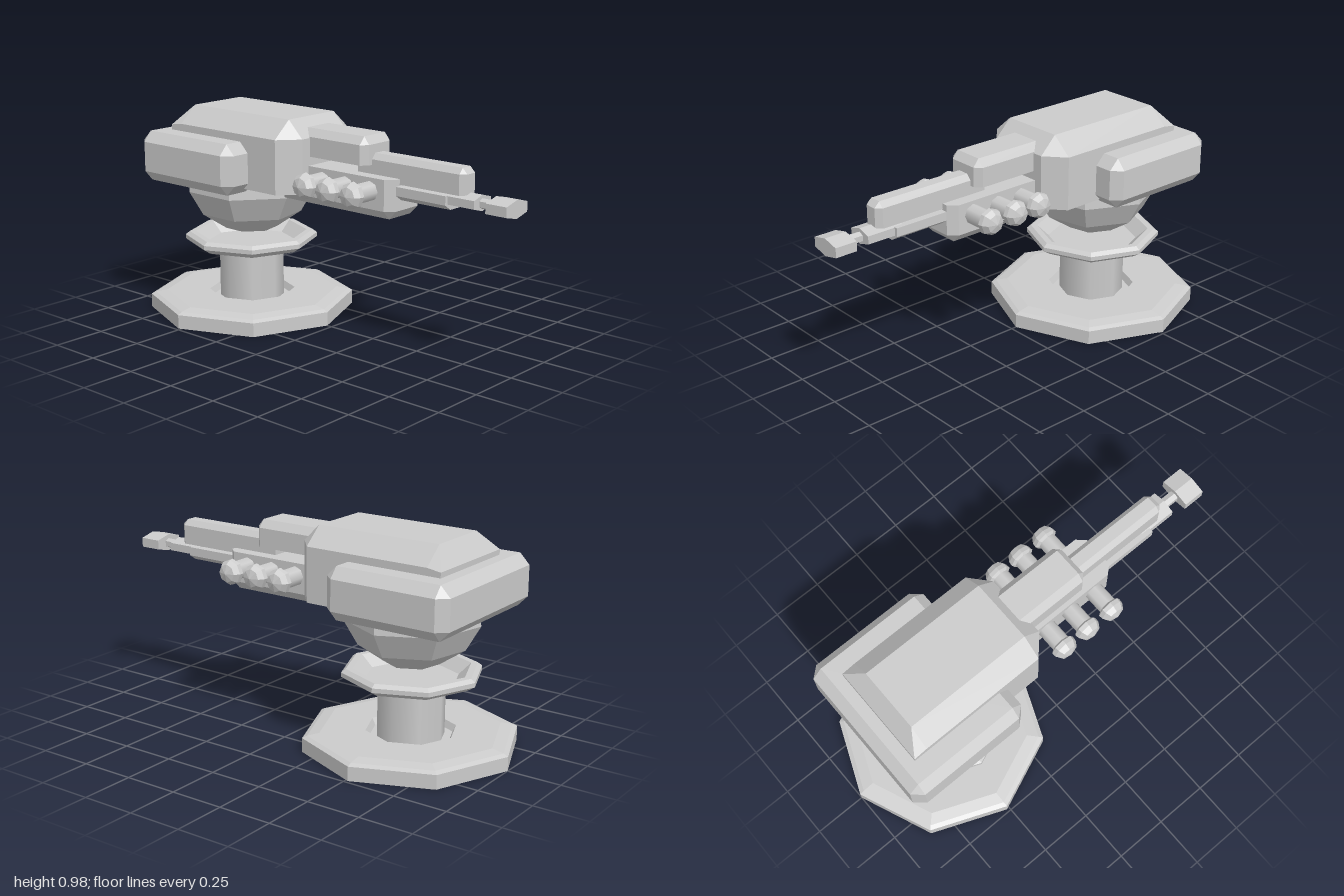
import * as THREE from 'three';
import { ConvexGeometry } from 'three/addons/geometries/ConvexGeometry.js';

const flat = new THREE.MeshStandardMaterial({ color: 0xcccccc, flatShading: true });
const smooth = new THREE.MeshStandardMaterial({ color: 0xcccccc });

export function createModel() {
  const model = new THREE.Group();
  const pivotZ = -0.513;

  const add = (name, geometry, material = flat, parent = model) => {
    const mesh = new THREE.Mesh(geometry, material);
    mesh.name = name;
    parent.add(mesh);
    return mesh;
  };

  // Turned part from a profile of [radius, y], listed bottom to top on the outside
  const turned = (profile, sides, start = 0) =>
    new THREE.LatheGeometry(profile.map(([r, y]) => new THREE.Vector2(r, y)), sides, start);

  // Convex block from cross-sections [z, [x, y], ...], mirrored across x = 0
  const block = (name, ...sections) => {
    const points = [];
    for (const [z, ...corners] of sections) {
      for (const [x, y] of corners) {
        points.push(new THREE.Vector3(x, y, z));
        if (x > 0) points.push(new THREE.Vector3(-x, y, z));
      }
    }
    return add(name, new ConvexGeometry(points));
  };

  // Pedestal: octagonal foot with a recess, column and dished collar
  add('base', turned([
    [0, 0], [0.487, 0], [0.487, 0.065], [0.465, 0.075], [0.41, 0.085],
    [0.205, 0.085], [0.19, 0.055], [0, 0.055],
  ], 8)).position.z = pivotZ;
  add('column', turned([[0.153, 0.05], [0.153, 0.32]], 8), smooth).position.z = pivotZ;
  add('collar', turned([
    [0, 0.295], [0.21, 0.295], [0.275, 0.315], [0.315, 0.34], [0.315, 0.36],
    [0.295, 0.375], [0.265, 0.375], [0.21, 0.325], [0, 0.325],
  ], 8)).position.z = pivotZ;

  // Seven-sided swivel ball
  add('swivelBall', turned([
    [0, 0.374], [0.125, 0.398], [0.24, 0.475], [0.305, 0.59], [0.3, 0.68], [0, 0.72],
  ], 7, Math.PI / 2)).position.z = pivotZ;

  // Main housing
  const shell = [[0.242, 0.65], [0.242, 0.9], [0.15, 0.98]];
  block('mainHousing',
    [-0.79, [0.242, 0.65], [0.242, 0.89]],
    [-0.725, ...shell],
    [-0.12, ...shell],
    [-0.04, [0.15, 0.65], [0.15, 0.9]]);

  // Wide rear pod, chamfered on every edge
  const podRim = [[0.37, 0.678], [0.37, 0.818], [0.328, 0.866], [0.328, 0.63]];
  const podEnd = [[0.328, 0.678], [0.328, 0.818]];
  block('rearPod',
    [-0.89, ...podEnd], [-0.843, ...podRim], [-0.337, ...podRim], [-0.29, ...podEnd]);

  // Upper receiver and top barrel
  const receiver = [[0.1, 0.815], [0.1, 0.905], [0.07, 0.94]];
  block('upperReceiver',
    [-0.12, ...receiver], [0.25, ...receiver],
    [0.278, [0.07, 0.815], [0.07, 0.905]]);
  const tube = [[0.05, 0.75], [0.05, 0.84], [0.027, 0.865]];
  block('topBarrel',
    [0.2, ...tube], [0.745, ...tube],
    [0.77, [0.027, 0.75], [0.027, 0.84]]);

  // Lower receiver
  const lower = [[0.11, 0.775], [0.11, 0.635], [0.072, 0.595]];
  block('lowerReceiver',
    [-0.22, ...lower], [0.395, ...lower],
    [0.433, [0.075, 0.775], [0.075, 0.635]]);

  // Stepped hexagonal barrel ending in the muzzle
  const hexBar = (name, z0, z1, w, bottom, top, slope) => {
    const ring = [[w, bottom + slope], [w, top - slope], [0, top], [0, bottom]];
    block(name, [z0, ...ring], [z1, ...ring]);
  };
  const trough = [[0.075, 0.745], [0.075, 0.705], [0.038, 0.68]];
  block('lowerBarrel', [0.4, ...trough], [0.695, ...trough]);
  hexBar('barrelSleeve', 0.65, 0.83, 0.06, 0.69, 0.76, 0.017);
  hexBar('muzzleNeck', 0.82, 0.91, 0.022, 0.7, 0.745, 0.01);
  hexBar('muzzle', 0.897, 1.0, 0.075, 0.685, 0.765, 0.018);

  // Three pairs of domed canisters on the sides
  for (const z of [0.043, 0.176, 0.315]) {
    for (const side of [1, -1]) {
      const canister = new THREE.Group();
      canister.name = side > 0 ? 'leftCanister' : 'rightCanister';
      canister.position.set(0, 0.715, z);
      canister.rotation.z = -side * Math.PI / 2;
      add('canisterBody', turned([[0.045, 0.08], [0.045, 0.22]], 8), smooth, canister);
      add('canisterCap', turned([
        [0, 0.205], [0.046, 0.205], [0.06, 0.215], [0.058, 0.235], [0.042, 0.26], [0, 0.273],
      ], 8), flat, canister);
      model.add(canister);
    }
  }

  return model;
}
